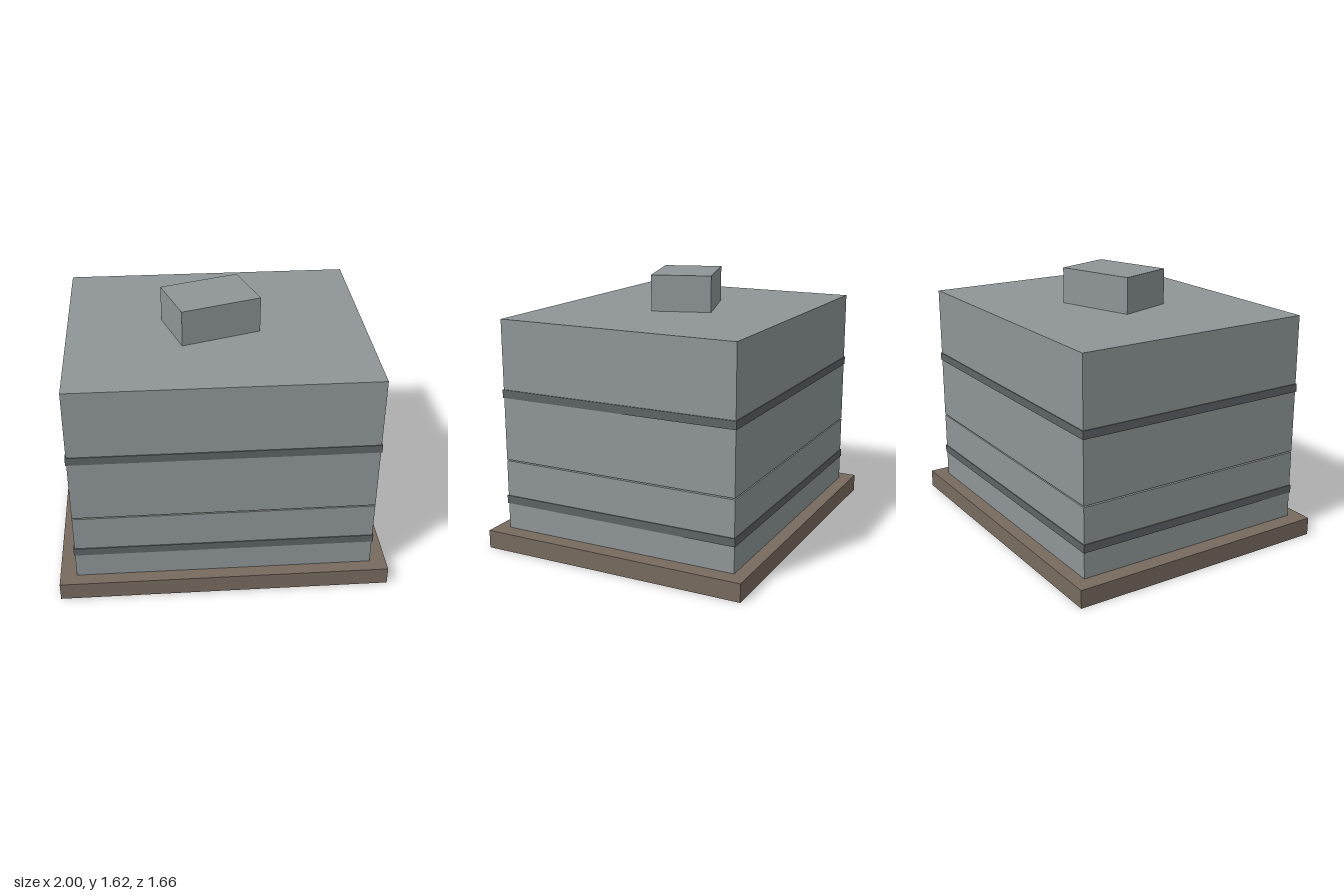
import * as THREE from 'three';

export function createModel() {
  const group = new THREE.Group();
  const makeMaterial = (name, color) => {
    const m = new THREE.MeshStandardMaterial({ color });
    m.name = name;
    return m;
  };
  const concrete = makeMaterial('concreteGrey', 0x8f9698);
  const darkBand = makeMaterial('darkGrey', 0x5d6366);
  const earth = makeMaterial('earthBrown', 0x786b5f);

  // Box spanning y0 to y1, centred in plan
  const slab = (name, width, depth, y0, y1, material) => {
    const mesh = new THREE.Mesh(new THREE.BoxGeometry(width, y1 - y0, depth), material);
    mesh.name = name;
    mesh.position.y = (y0 + y1) / 2;
    group.add(mesh);
    return mesh;
  };

  // Ground plinth
  slab('plinth', 2, 1.664, 0, 0.11, earth);

  // Two building blocks separated by a thin open joint
  slab('lowerBlock', 1.8, 1.5, 0.11, 0.538, concrete);
  slab('upperBlock', 1.8, 1.5, 0.546, 1.4, concrete);

  // Window bands standing slightly proud of the walls
  slab('lowerWindowBand', 1.812, 1.51, 0.269, 0.318, darkBand);
  slab('upperWindowBand', 1.812, 1.51, 0.929, 0.978, darkBand);

  // Rooftop unit, turned in plan
  const roofUnit = slab('roofUnit', 0.5, 0.365, 1.4, 1.62, concrete);
  roofUnit.position.x = -0.034;
  roofUnit.position.z = 0.008;
  roofUnit.rotation.y = 0.315;

  return group;
}
